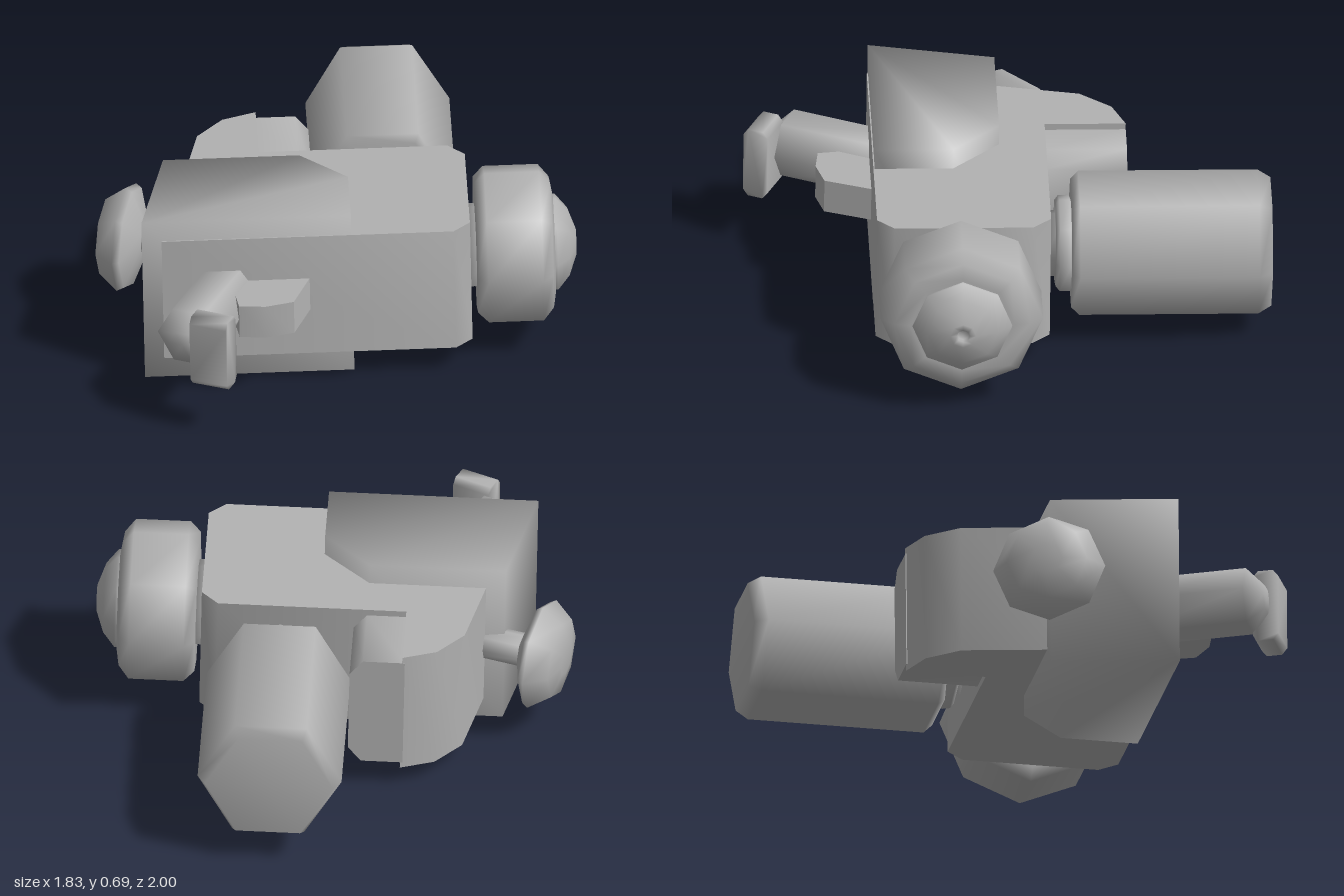
import * as THREE from 'three';
import { mergeVertices, toCreasedNormals } from 'three/addons/utils/BufferGeometryUtils.js';

const UP = new THREE.Vector3(0, 1, 0);

export function createModel() {
  const grey = new THREE.MeshStandardMaterial({ name: 'plain grey', color: 0xb2b2b2 });
  const model = new THREE.Group();
  model.name = 'mechanicalUnit';

  // Everything sits in a slightly tilted group, pivoting at mid height
  const unit = new THREE.Group();
  unit.name = 'tiltedAssembly';
  unit.position.y = 0.36;
  unit.rotation.set(-0.012, 0, 0.02);
  model.add(unit);

  function add(name, geometry) {
    const mesh = new THREE.Mesh(geometry, grey);
    mesh.name = name;
    unit.add(mesh);
    return mesh;
  }

  // Upright prism from an outline of [x, z] points, centred on height y
  function prism(outline, height, y = 0) {
    const shape = new THREE.Shape(outline.map(([x, z]) => new THREE.Vector2(x, -z)));
    return new THREE.ExtrudeGeometry(shape, { depth: height, bevelEnabled: false })
      .rotateX(-Math.PI / 2).translate(0, y - height / 2, 0);
  }

  // All edges share normals, giving a soft look on hard shapes
  function soften(geometry) {
    geometry.deleteAttribute('normal');
    geometry.deleteAttribute('uv');
    const welded = mergeVertices(geometry, 1e-4);
    welded.computeVertexNormals();
    return welded;
  }

  // Turned part: [radius, distance] profile along a horizontal direction
  function turned(name, profile, sides, position, dx, dz) {
    const points = profile.map(([r, d]) => new THREE.Vector2(r, d));
    const mesh = add(name, new THREE.LatheGeometry(points, sides, Math.atan2(dz, -dx)));
    mesh.quaternion.setFromUnitVectors(UP, new THREE.Vector3(dx, 0, dz).normalize());
    mesh.position.set(...position);
    return mesh;
  }

  // Main body with a rounded rear shoulder and chamfered corners
  add('body', toCreasedNormals(prism([
    [-0.675, 0.515], [0.44, 0.515], [0.505, 0.45], [0.505, -0.08], [0.44, -0.15],
    [-0.28, -0.15], [-0.28, -0.46], [-0.41, -0.41], [-0.51, -0.29],
  ], 0.51), 0.9));

  // Thick block passing through the body, standing proud above and below
  add('sideHousing', soften(prism([
    [-0.75, 0.51], [0.05, 0.51], [0.05, 0.21], [-0.13, 0.03], [-0.65, 0.03],
  ], 0.675)));

  // Rounded rear block beside the shoulder
  const rear = new THREE.Shape([
    [-0.29, -0.23], [-0.13, -0.23], [-0.08, -0.17], [-0.08, 0.17], [-0.13, 0.23], [-0.29, 0.23],
  ].map(([x, y]) => new THREE.Vector2(x, y)));
  add('rearBlock', toCreasedNormals(
    new THREE.ExtrudeGeometry(rear, { depth: 0.32, bevelEnabled: false }).translate(0, 0, -0.46), 1));

  // Large wheel on the left side, with neck and domed hub
  const wheelAt = [0, 0.015, 0.2];
  turned('wheelNeck', [[0, 0.48], [0.165, 0.48], [0.165, 0.55], [0, 0.55]], 8, wheelAt, 1, 0);
  turned('wheel', [
    [0, 0.53], [0.27, 0.53], [0.31, 0.57], [0.31, 0.78], [0.26, 0.82], [0.2, 0.83], [0, 0.83],
  ], 8, wheelAt, 1, 0);
  turned('wheelHub', [
    [0.19, 0.82], [0.19, 0.84], [0.135, 0.885], [0.05, 0.915], [0.025, 0.915], [0.022, 0.9], [0, 0.9],
  ], 8, wheelAt, 1, 0);

  // Hexagonal barrel at the back with a stepped collar
  const barrelAt = [0.198, 0.008, 0];
  turned('barrelCollar', [
    [0, 0.13], [0.13, 0.13], [0.13, 0.175], [0.17, 0.175], [0.19, 0.19], [0.19, 0.23], [0.15, 0.25], [0, 0.25],
  ], 8, barrelAt, 0, -1);
  turned('barrel', [
    [0, 0.235], [0.245, 0.235], [0.275, 0.265], [0.275, 0.95], [0.245, 1], [0, 1],
  ], 6, barrelAt, 0, -1);

  // Round knob on the right side
  const knobAt = [-0.81, -0.014, -0.01];
  turned('knobStem', [[0, -0.3], [0.065, -0.3], [0.065, -0.06], [0, -0.06]], 8, knobAt, -0.95, -0.3);
  turned('knob', [
    [0, -0.095], [0.07, -0.09], [0.2, -0.04], [0.215, -0.015], [0.155, 0.065], [0.06, 0.085], [0, 0.085],
  ], 8, knobAt, -0.95, -0.3);

  // Slanted front arm with a tall end cap
  turned('frontArm', [
    [0, -0.1], [0.128, -0.1], [0.128, 0.34], [0.055, 0.405], [0, 0.405],
  ], 6, [-0.445, 0.006, 0.51], -0.42, 0.91);
  const cap = new THREE.Shape([
    [-0.05, -0.12], [-0.03, -0.145], [0.03, -0.145], [0.05, -0.12],
    [0.05, 0.12], [0.03, 0.145], [-0.03, 0.145], [-0.05, 0.12],
  ].map(([x, y]) => new THREE.Vector2(x, y)));
  const capMesh = add('armEndCap', soften(
    new THREE.ExtrudeGeometry(cap, { depth: 0.15, bevelEnabled: false }).translate(0, 0, -0.075)));
  capMesh.position.set(-0.498, 0.003, 0.915);
  capMesh.rotation.y = Math.PI / 2 - 0.43;

  // Small prong next to the arm
  add('frontProng', toCreasedNormals(prism([
    [-0.42, 0.48], [-0.39, 0.71], [-0.29, 0.722], [-0.18, 0.692], [-0.1, 0.48],
  ], 0.135, 0.004), 0.9));

  return model;
}
